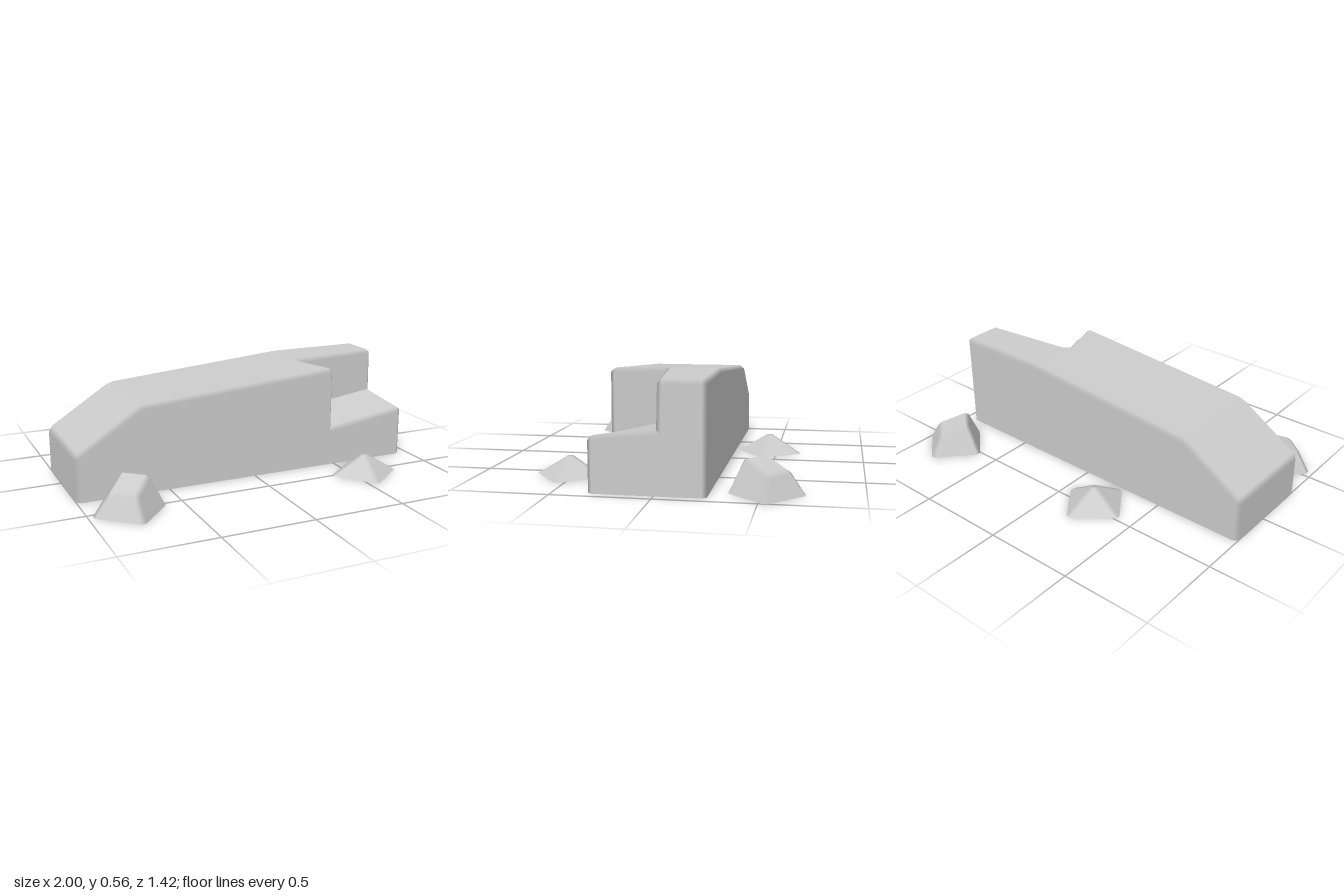
import * as THREE from 'three';

const material = new THREE.MeshStandardMaterial({ color: 0xcccccc, side: THREE.DoubleSide });

// Builds a shell from corners and outward polygons, chamfering each convex edge.
// Chamfers blend between the normals of the flat faces beside them.
function bevelledShell(corners, faces, width) {
  const P = corners.map((c) => new THREE.Vector3(...c));
  const edgeOwner = new Map();
  const normals = faces.map((f) => {
    const n = new THREE.Vector3();
    for (let i = 1; i < f.length - 1; i++) {
      const a = P[f[i]].clone().sub(P[f[0]]);
      n.add(a.cross(P[f[i + 1]].clone().sub(P[f[0]])));
    }
    return n.normalize();
  });
  faces.forEach((f, k) => f.forEach((a, i) => edgeOwner.set(a + '>' + f[(i + 1) % f.length], k)));
  const direction = (a, b) => P[b].clone().sub(P[a]).normalize();

  // Concave and open edges stay sharp
  const edgeWidth = (k, a, b) => {
    const other = edgeOwner.get(b + '>' + a);
    if (other === undefined) return 0;
    const inward = normals[other].clone().cross(direction(b, a));
    return inward.dot(normals[k]) < -0.01 ? width : 0;
  };

  // Inset corners of every face
  const inset = faces.map((f, k) => {
    const points = {};
    f.forEach((v, i) => {
      const prev = f[(i + f.length - 1) % f.length], next = f[(i + 1) % f.length];
      const e1 = direction(prev, v), e2 = direction(v, next);
      const s = normals[k].dot(e1.clone().cross(e2));
      const p = P[v].clone()
        .addScaledVector(e1, -edgeWidth(k, v, next) / s)
        .addScaledVector(e2, edgeWidth(k, prev, v) / s);
      points[v] = { p, n: normals[k], prev };
    });
    return points;
  });

  const position = [], normal = [];
  const addPolygon = (pts) => {
    const flat = new THREE.Vector3();
    pts.forEach((q) => flat.add(q.n));
    // Project along the dominant axis so concave outlines triangulate properly
    flat.normalize();
    const u = new THREE.Vector3(0, 1, 0);
    if (Math.abs(flat.y) > 0.8) u.set(0, 0, 1);
    u.cross(flat).normalize();
    const w = flat.clone().cross(u);
    const outline = pts.map((q) => new THREE.Vector2(q.p.dot(u), q.p.dot(w)));
    const tris = pts.length === 4 ? [[0, 1, 2], [0, 2, 3]] : THREE.ShapeUtils.triangulateShape(outline, []);
    tris.flat().forEach((i) => {
      position.push(...pts[i].p.toArray());
      normal.push(...pts[i].n.toArray());
    });
  };

  // Flat faces and the strips along their edges
  faces.forEach((f, k) => {
    addPolygon(f.map((v) => inset[k][v]));
    f.forEach((a, i) => {
      const b = f[(i + 1) % f.length], other = edgeOwner.get(b + '>' + a);
      if (other > k) addPolygon([inset[k][b], inset[k][a], inset[other][a], inset[other][b]]);
    });
  });

  // Caps where three or more faces meet
  P.forEach((_, v) => {
    const start = faces.findIndex((f) => f.includes(v));
    const ring = [];
    let k = start;
    do {
      ring.push(inset[k][v]);
      k = edgeOwner.get(v + '>' + inset[k][v].prev);
    } while (k !== undefined && k !== start);
    for (let i = 1; i < ring.length - 1 && k === start; i++) {
      [ring[0], ring[i], ring[i + 1]].forEach((q) => {
        position.push(...q.p.toArray());
        normal.push(...q.n.toArray());
      });
    }
  });

  const geometry = new THREE.BufferGeometry();
  geometry.setAttribute('position', new THREE.Float32BufferAttribute(position, 3));
  geometry.setAttribute('normal', new THREE.Float32BufferAttribute(normal, 3));
  return geometry;
}

// Long hull with a sloped nose and a corner recess, open underneath
function hullGeometry() {
  const f = 0.325, b = -0.255, l = -1, r = 0.95;
  const corners = [
    [l, 0, f], [r, 0, f], [r, 0, b], [l, 0, b],
    [l, 0.245, f], [l, 0.245, b],
    [-0.645, 0.472, f], [-0.645, 0.472, b],
    [0.49, 0.56, f], [0.4, 0.56, 0.04], [0.4, 0.56, b],
    [r, 0.56, -0.02], [r, 0.56, b],
    [0.49, 0.215, f], [r, 0.283, f], [r, 0.317, -0.015], [0.41, 0.268, 0.055],
  ];
  const faces = [
    [0, 1, 14, 13, 8, 6, 4],   // front side
    [1, 2, 12, 11, 15, 14],    // tall end
    [2, 3, 5, 7, 10, 12],      // back side
    [3, 0, 4, 5],              // low end
    [4, 6, 7, 5],              // nose slope
    [6, 8, 9, 10, 7],          // long roof
    [9, 11, 12, 10],           // level roof
    [13, 14, 15, 16],          // recess floor
    [16, 15, 11, 9],           // recess back wall
    [13, 16, 9, 8],            // recess side wall
  ];
  return bevelledShell(corners, faces, 0.022);
}

// Four-sided block with a tilted top, open underneath
function tallBlockGeometry() {
  const corners = [
    [-0.2, 0, 0.012], [0.01, 0, 0.197], [0.2, 0, -0.01], [-0.005, 0, -0.197],
    [-0.115, 0.12, 0.017], [0.005, 0.12, 0.115], [0.115, 0.178, -0.013], [-0.005, 0.178, -0.115],
  ];
  const faces = [[4, 5, 6, 7]];
  for (let i = 0; i < 4; i++) {
    const j = (i + 1) % 4;
    faces.push([i, j, j + 4, i + 4]);
  }
  return bevelledShell(corners, faces, 0.018);
}

// Low pyramid, open underneath
function lowBlockGeometry() {
  const corners = [
    [-0.195, 0, -0.025], [-0.035, 0, 0.195], [0.19, 0, 0.025], [0.03, 0, -0.195],
    [0, 0.122, 0],
  ];
  const faces = [0, 1, 2, 3].map((i) => [i, (i + 1) % 4, 4]);
  return bevelledShell(corners, faces, 0.016);
}

export function createModel() {
  const model = new THREE.Group();
  const add = (name, geometry, x = 0, z = 0, turn = 0) => {
    const mesh = new THREE.Mesh(geometry, material);
    mesh.name = name;
    mesh.position.set(x, 0, z);
    mesh.rotation.y = turn;
    model.add(mesh);
  };
  add('hull', hullGeometry());

  // Blocks standing around the hull
  const tall = tallBlockGeometry(), low = lowBlockGeometry();
  add('frontTallBlock', tall, -0.785, 0.523);
  add('backTallBlock', tall, 0.815, -0.527, Math.PI);
  add('frontLowBlock', low, 0.58, 0.522);
  add('backLowBlock', low, -0.22, -0.456);
  return model;
}
